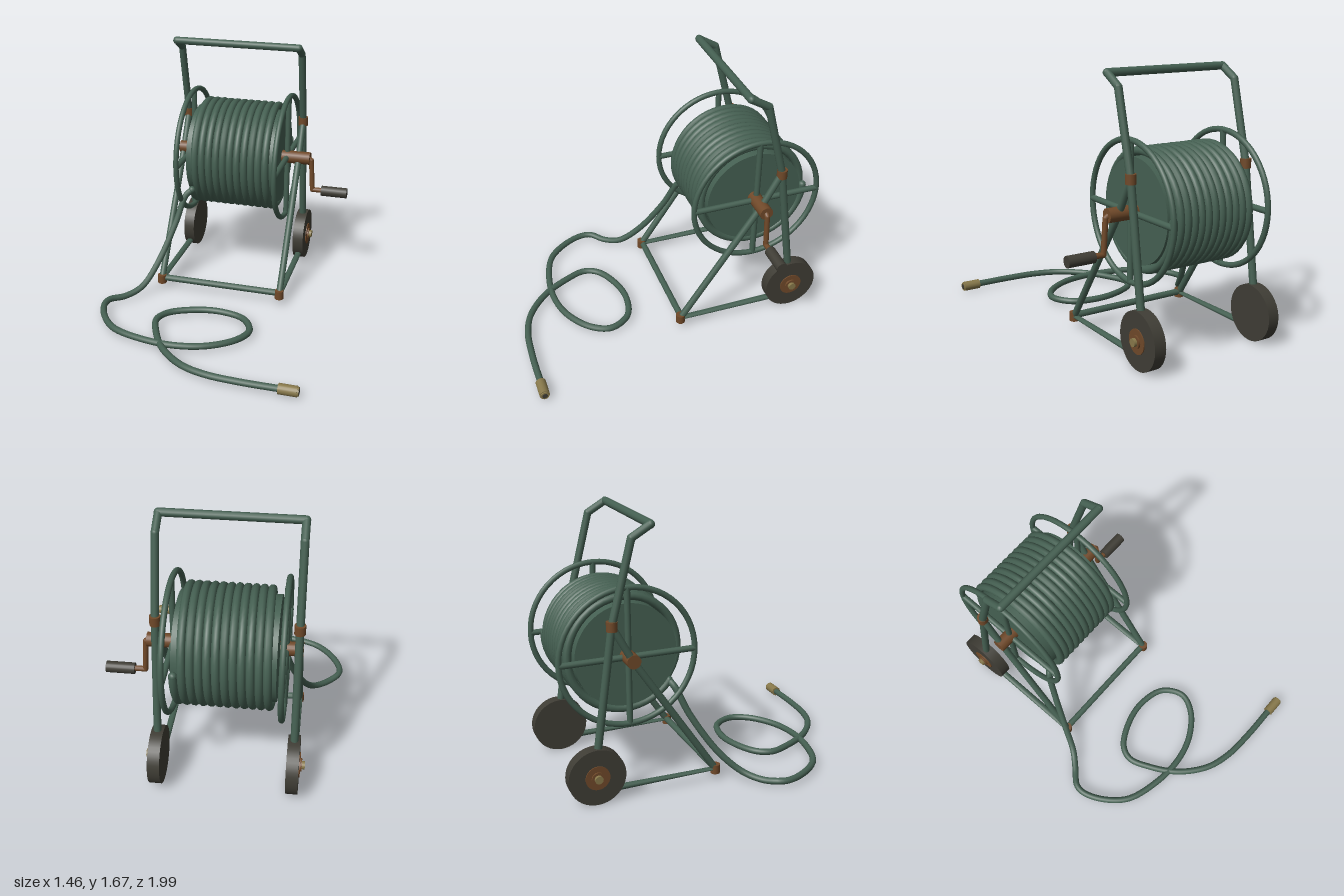
import * as THREE from 'three';

const V = (x, y, z) => new THREE.Vector3(x, y, z);

function material(name, color) {
  const m = new THREE.MeshStandardMaterial({ color });
  m.name = name;
  return m;
}

export function createModel() {
  const green = material('dark green', 0x456052);
  const brown = material('copper brown', 0x704929);
  const black = material('rubber black', 0x3f3d35);
  const tan = material('brass', 0x87784a);

  const model = new THREE.Group();
  model.name = 'hoseReelCart';
  const CX = -0.027, AY = 0.855, AZ = -0.555; // reel centre

  function add(name, geometry, mat) {
    const mesh = new THREE.Mesh(geometry, mat);
    mesh.name = name;
    model.add(mesh);
    return mesh;
  }

  // Straight round bar between two points
  function rod(name, a, b, r, mat, sides = 12) {
    const dir = b.clone().sub(a);
    const mesh = add(name, new THREE.CylinderGeometry(r, r, dir.length(), sides), mat);
    mesh.position.copy(a).lerp(b, 0.5);
    mesh.quaternion.setFromUnitVectors(V(0, 1, 0), dir.normalize());
    return mesh;
  }

  function ball(name, p, r, mat) {
    add(name, new THREE.SphereGeometry(r, 12, 8), mat).position.copy(p);
  }

  // Bent bar with a ball filling each inner bend
  function bentRod(name, points, r, mat) {
    for (let i = 1; i < points.length; i++) {
      rod(name, points[i - 1], points[i], r, mat);
      if (i < points.length - 1) ball(name + 'Bend', points[i], r, mat);
    }
  }

  // Frame sides, wheels and rims, mirrored about the reel centre
  for (const s of [1, -1]) {
    const side = s > 0 ? 'left' : 'right';
    const x = CX + s * 0.412;
    const joint = V(x, 1.08, -0.677), foot = V(x, 0.07, -0.03);

    bentRod(side + 'Upright', [V(x, 0.18, -0.805), joint, V(x, 1.575, -0.55), V(x, 1.643, -0.435)], 0.024, green);
    ball(side + 'HandleCorner', V(x, 1.643, -0.435), 0.025, green);
    bentRod(side + 'Strut', [foot, V(x, AY, AZ), joint], 0.022, green);

    // Base bar, flattened toward the foot
    const bar = new THREE.CylinderGeometry(0.021, 0.021, 0.77, 12).rotateX(Math.PI / 2);
    const p = bar.attributes.position;
    for (let i = 0; i < p.count; i++) {
      p.setY(i, p.getY(i) * (p.getZ(i) > 0 ? 0.4 : 1));
    }
    bar.computeVertexNormals();
    add(side + 'BaseBar', bar, green).position.set(x, 0.072, -0.415);

    // Brown fittings
    rod(side + 'Collar', V(x, 1.051, -0.677), V(x, 1.109, -0.677), 0.033, brown, 16);
    rod(side + 'Foot', V(x, 0.042, -0.03), V(x, 0.1, -0.03), 0.03, brown, 16);

    // Wheel with an outer hub and cap
    const wheel = (name, from, to, r, mat, n) =>
      rod(side + name, V(x + s * from, 0.176, -0.8), V(x + s * to, 0.176, -0.8), r, mat, n);
    wheel('Wheel', -0.038, 0.036, 0.176, black, 40);
    wheel('Hub', 0.03, 0.042, 0.075, brown, 28);
    wheel('HubStep', 0.04, 0.052, 0.04, brown, 20);
    wheel('HubCap', 0.05, 0.07, 0.025, tan, 16);

    // Reel rim and spokes
    const rx = CX + s * 0.333;
    const rim = new THREE.TorusGeometry(0.419, 0.018, 10, 56).rotateY(Math.PI / 2);
    add(side + 'ReelRim', rim, green).position.set(rx, AY, AZ);
    rod(side + 'Spoke', V(rx, AY - 0.419, AZ), V(rx, AY + 0.419, AZ), 0.019, green);
    rod(side + 'Spoke', V(rx, AY, AZ - 0.419), V(rx, AY, AZ + 0.419), 0.019, green);
  }

  // Cross bars
  rod('handleBar', V(CX - 0.412, 1.643, -0.435), V(CX + 0.412, 1.643, -0.435), 0.025, green);
  rod('frontBar', V(CX - 0.412, 0.078, -0.035), V(CX + 0.412, 0.078, -0.035), 0.021, green);

  // Axle and drum
  rod('axle', V(-0.462, AY, AZ), V(0.465, AY, AZ), 0.043, brown, 20);
  rod('drum', V(CX - 0.298, AY, AZ), V(CX + 0.298, AY, AZ), 0.315, green, 56);

  // Crank
  bentRod('crank', [V(0.455, AY, AZ), V(0.474, AY - 0.012, AZ), V(0.488, 0.63, AZ), V(0.56, 0.63, AZ)], 0.017, brown);
  rod('crankGrip', V(0.552, 0.628, AZ), V(0.728, 0.628, AZ), 0.035, black, 20);

  // Hose wound on the drum
  const start = THREE.MathUtils.degToRad(127), turns = 11.4, coilR = 0.345;
  class Coil extends THREE.Curve {
    getPoint(t, target = new THREE.Vector3()) {
      const a = start + t * turns * Math.PI * 2;
      return target.set(-0.297 + t * 0.55, AY + coilR * Math.cos(a), AZ + coilR * Math.sin(a));
    }
  }
  const coil = new Coil();
  coil.arcLengthDivisions = 1000;
  add('hoseCoil', new THREE.TubeGeometry(coil, 520, 0.025, 10), green);
  ball('hoseCoilEnd', coil.getPoint(0), 0.025, green);
  ball('hoseCoilEnd', coil.getPoint(1), 0.025, green);

  // Loose hose: down to the ground, then a loop out to the nozzle
  const drop = [
    coil.getPoint(0), V(-0.335, 0.61, -0.255), V(-0.385, 0.43, -0.175), V(-0.465, 0.19, -0.02),
    V(-0.535, 0.065, 0.11), V(-0.62, 0.03, 0.205),
  ];
  const ground = [
    [-0.695, 0.285], [-0.705, 0.355], [-0.65, 0.49], [-0.53, 0.62], [-0.32, 0.69], [-0.105, 0.705],
    [0.08, 0.66], [0.24, 0.545], [0.295, 0.42], [0.225, 0.29], [0.08, 0.242], [-0.08, 0.255],
    [-0.265, 0.345], [-0.31, 0.44], [-0.265, 0.58], [-0.16, 0.755], [0, 0.89], [0.16, 0.945],
    [0.37, 0.963], [0.63, 0.963],
  ].map(([x, z]) => V(x, 0.038, z));
  const path = new THREE.CatmullRomCurve3([...drop, ...ground]);
  add('looseHose', new THREE.TubeGeometry(path, 220, 0.021, 10), green);

  // Nozzle
  const nozzle = (name, from, to, r, mat) =>
    rod(name, V(from, 0.038, 0.963), V(to, 0.038, 0.963), r, mat, 20);
  nozzle('nozzle', 0.603, 0.714, 0.032, tan);
  nozzle('nozzleLip', 0.712, 0.722, 0.027, tan);
  nozzle('nozzleOpening', 0.72, 0.724, 0.017, black);

  return model;
}
